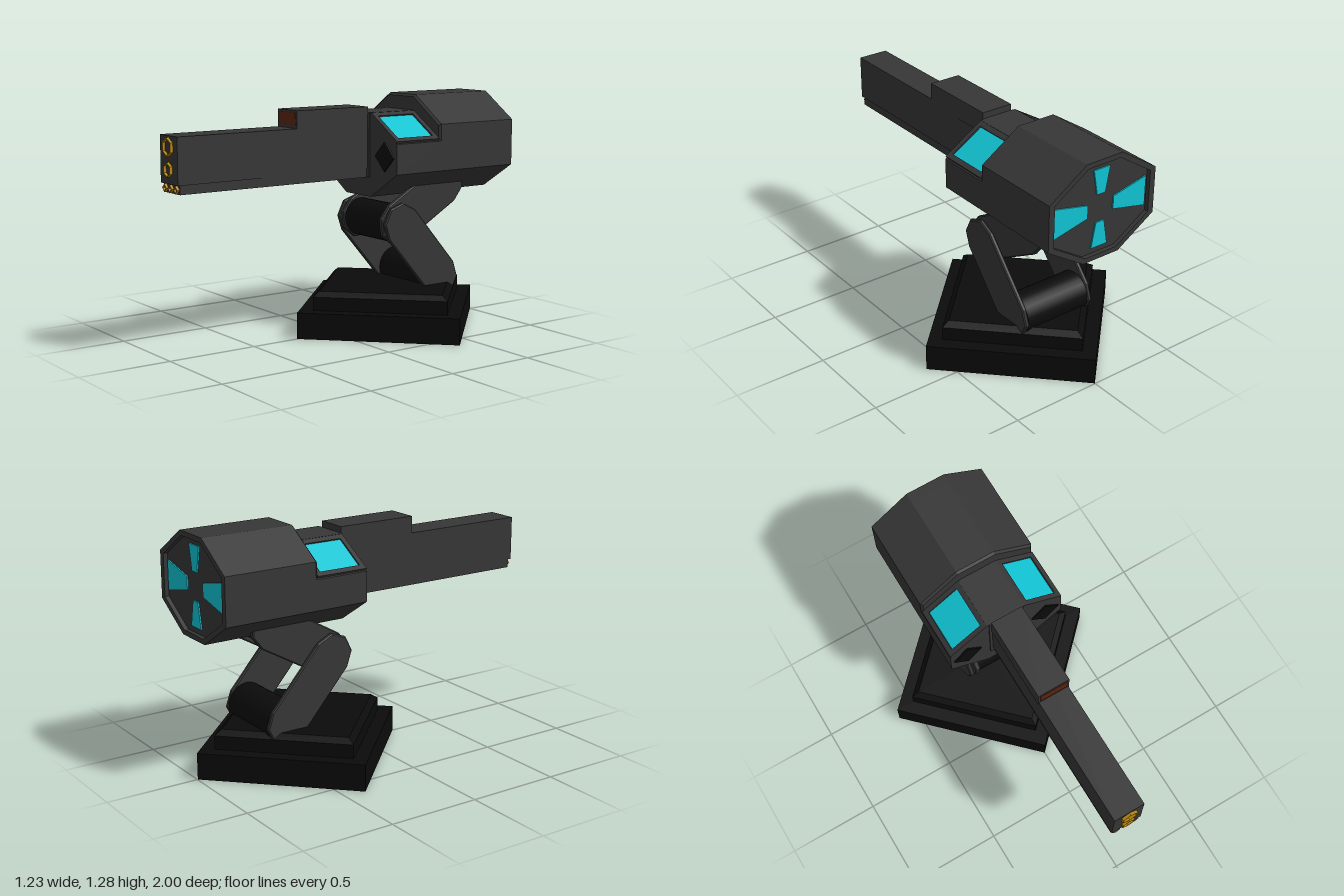
import * as THREE from 'three';

const mat = (name, color) => {
  const m = new THREE.MeshStandardMaterial({ color });
  m.name = name;
  return m;
};

export function createModel() {
  const grey = mat('dark grey metal', 0x363636);
  const black = mat('black metal', 0x0b0b0b);
  const cyan = mat('cyan glow', 0x11c4d3);
  const gold = mat('gold trim', 0xb8860b);
  const red = mat('rust red lens', 0x5c230f);
  const root = new THREE.Group();

  const add = (name, geo, material, x = 0, y = 0, z = 0, parent = root) => {
    const m = new THREE.Mesh(geo, material);
    m.name = name;
    m.position.set(x, y, z);
    parent.add(m);
    return m;
  };
  const vecs = pts => pts.map(p => new THREE.Vector2(p[0], p[1]));
  const extrude = (pts, depth, hole, bevel = 0) => {
    const s = new THREE.Shape(vecs(pts));
    if (hole) s.holes.push(new THREE.Path(vecs(hole)));
    return new THREE.ExtrudeGeometry(s, {
      depth, bevelEnabled: bevel > 0, bevelSize: bevel, bevelThickness: bevel,
      bevelOffset: -bevel, bevelSegments: 1,
    });
  };
  const box = (w, h, d) => new THREE.BoxGeometry(w, h, d);
  const rect = (w, h) => [[-w / 2, -h / 2], [w / 2, -h / 2], [w / 2, h / 2], [-w / 2, h / 2]];
  const ngon = (n, r) => Array.from({ length: n }, (_, i) => {
    const a = Math.PI / 2 + i * 2 * Math.PI / n;
    return [r * Math.cos(a), r * Math.sin(a)];
  });
  // Octagon with adjustable upper heights
  const octagon = (top, shoulder) => [
    [-0.11, 0.745], [0.11, 0.745], [0.33, 0.885], [0.33, shoulder],
    [0.11, top], [-0.11, top], [-0.33, shoulder], [-0.33, 0.885],
  ];

  // Stepped diamond base
  const tier = (name, rTop, rBottom, y0, y1) => {
    const g = new THREE.CylinderGeometry(rTop, rBottom, y1 - y0, 4).toNonIndexed();
    g.computeVertexNormals();
    add(name, g, black, 0, (y0 + y1) / 2, -0.385);
  };
  tier('basePlate', 0.613, 0.613, 0, 0.142);
  tier('baseStep', 0.51, 0.51, 0.142, 0.215);
  tier('baseChamfer', 0.467, 0.51, 0.215, 0.242);

  // Folding legs: plates with faceted round ends, in (z, y)
  const ankle = [-0.588, 0.278], knee = [-0.31, 0.595], hip = [-0.65, 0.79];
  const link = (a, b, r) => {
    const dir = Math.atan2(b[1] - a[1], b[0] - a[0]);
    const end = (c, d) => [-2, -1, 0, 1, 2].map(i => {
      const t = d + i * Math.PI / 4;
      return [c[0] + r * Math.cos(t), c[1] + r * Math.sin(t)];
    });
    return [...end(b, dir), ...end(a, dir + Math.PI)];
  };
  const leg = (name, a, b, r, x, width) => {
    const g = extrude(link(a, b, r), width - 0.012, null, 0.006);
    g.translate(0, 0, -(width - 0.012) / 2).rotateY(-Math.PI / 2);
    add(name, g, grey, x);
  };
  for (const s of [-1, 1]) {
    leg('lowerLeg', ankle, knee, 0.117, s * 0.207, 0.026);
    leg('upperLeg', knee, hip, 0.118, s * 0.17, 0.03);
  }
  const axle = (name, c, r, len, material) => add(name,
    new THREE.CylinderGeometry(r, r, len, 24).rotateZ(Math.PI / 2), material, 0, c[1], c[0]);
  axle('ankleAxle', ankle, 0.11, 0.39, black);
  axle('kneeAxle', knee, 0.104, 0.32, black);
  axle('hipAxle', hip, 0.09, 0.32, grey);

  // Rear housing and its recessed back
  const outer = octagon(1.28, 1.135);
  const inner = outer.map(([x, y]) => [x * 0.9, 1.0125 + (y - 1.0125) * 0.9]);
  add('rearHousing', extrude(outer, 0.475, null, 0.012), grey, 0, 0, -0.957);
  add('rearRim', extrude(outer, 0.05, inner), grey, 0, 0, -0.992);
  const vent = (r0, r1, h0, h1) => extrude([[r0, -h0], [r1, -h1], [r1, h1], [r0, h0]], 0.008);
  for (let i = 0; i < 4; i++) {
    const g = i % 2 ? vent(0.075, 0.21, 0.025, 0.05) : vent(0.08, 0.285, 0.035, 0.08);
    add('rearVent', g, cyan, 0, 1.0125, -0.976).rotation.z = i * Math.PI / 2;
  }

  // Front housing with recessed sloping windows
  add('frontHousing', extrude(octagon(1.18, 1.045), 0.31), grey, 0, 0, -0.49);
  add('frontRoof', box(0.22, 0.02, 0.29), grey, 0, 1.186, -0.325);
  for (const s of [-1, 1]) {
    const panel = new THREE.Group();
    panel.name = 'windowPanel';
    panel.position.set(s * 0.22, 1.1275, -0.325);
    panel.rotation.z = -s * Math.atan2(0.135, 0.22);
    root.add(panel);
    const frame = extrude(rect(0.258, 0.29), 0.015, rect(0.2, 0.236)).rotateX(-Math.PI / 2);
    add('windowFrame', frame, grey, 0, -0.015, 0, panel);
    add('window', box(0.2, 0.005, 0.236), cyan, 0, -0.0105, 0, panel);
    add('frontDiamond', extrude(ngon(4, 0.08), 0.008), black, s * 0.232, 0.972, -0.18);
  }
  add('barrelMount', box(0.2, 0.345, 0.02), grey, 0, 1.022, -0.184);

  // Barrel
  add('barrel', box(0.17, 0.24, 1.17), grey, 0, 1.015, 0.4);
  add('barrelRail', box(0.158, 0.05, 1.155), grey, 0, 0.873, 0.3925);
  add('barrelBlock', box(0.178, 0.115, 0.455), grey, 0, 1.17, 0.0555);
  add('lens', box(0.152, 0.066, 0.006), red, 0, 1.183, 0.283);

  // Gold muzzle outlines
  const ring = (n, r, w, x, y, z) =>
    add('muzzleRing', extrude(ngon(n, r), 0.016, ngon(n, r - w)), gold, x, y, z);
  ring(6, 0.048, 0.007, 0, 1.079, 0.984);
  ring(6, 0.038, 0.006, 0, 0.966, 0.984);
  for (const x of [-0.054, 0, 0.054]) ring(4, 0.021, 0.006, x, 0.871, 0.968);

  return root;
}
